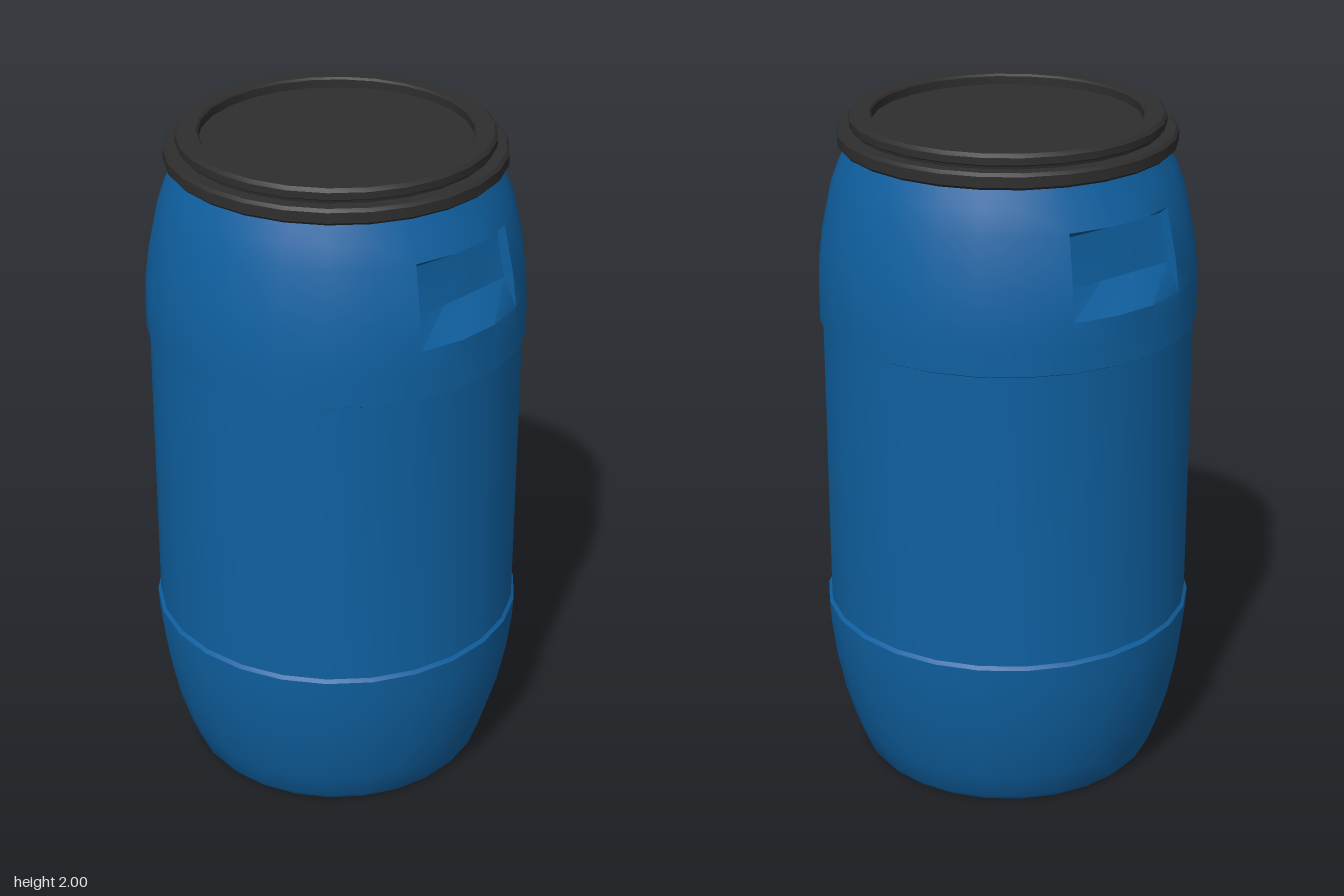
import * as THREE from 'three';
import { toCreasedNormals } from 'three/addons/utils/BufferGeometryUtils.js';

const SIDES = 26;
const STEP = (Math.PI * 2) / SIDES;
const CREASE = 0.5;

const blue = new THREE.MeshStandardMaterial({ color: 0x0f60a0 });
blue.name = 'blue plastic';
const black = new THREE.MeshStandardMaterial({ color: 0x2e2e2e });
black.name = 'black plastic';

// Turned shape from [radius, y] pairs, with a flat facet facing front and back
function turned(profile) {
  const points = profile.map(([r, y]) => new THREE.Vector2(r, y));
  const geo = new THREE.LatheGeometry(points, SIDES, STEP / 2).toNonIndexed();
  geo.deleteAttribute('uv');
  return geo;
}

// Rows of the handle opening: outer radius, height, then floor height and depth
const opening = [
  { r: 0.548, y: 1.55 },
  { r: 0.535, y: 1.65, floorY: 1.63, floorZ: 0.472 },
  { r: 0.505, y: 1.79, floorY: 1.77, floorZ: 0.45 },
];

// Recessed hand grip, three facets wide, returned as triangle corners
function gripTriangles(turn) {
  const columns = [-1.5, -0.5, 0.5, 1.5];
  const outer = opening.map(({ r, y }) => columns.map((c) =>
    new THREE.Vector3(r * Math.sin(c * STEP), y, r * Math.cos(c * STEP))));
  const inner = opening.map(({ floorY, floorZ }, i) => outer[i].map((p) =>
    floorY ? new THREE.Vector3(p.x * 0.97, floorY, floorZ) : p.clone()));
  const out = [];
  const axis = new THREE.Vector3(0, 1, 0);
  const quad = (a, b, c, d) => {
    for (const p of [a, b, c, a, c, d]) out.push(...p.clone().applyAxisAngle(axis, turn).toArray());
  };
  // Floor, then the overhang under the upper lip
  const rows = [...inner, outer[2]];
  for (let i = 0; i < 3; i++) {
    for (let c = 0; c < 3; c++) quad(rows[i][c], rows[i][c + 1], rows[i + 1][c + 1], rows[i + 1][c]);
  }
  // Side walls
  for (let i = 0; i < 2; i++) {
    quad(outer[i][0], inner[i][0], inner[i + 1][0], outer[i + 1][0]);
    quad(inner[i][3], outer[i][3], outer[i + 1][3], inner[i + 1][3]);
  }
  return out;
}

function barrelGeometry() {
  const shell = turned([
    [0, 0.05], [0.31, 0.05], [0.35, 0.035], [0.4, 0.004], [0.415, 0], [0.435, 0.002], [0.449, 0.02],
    [0.478, 0.1], [0.508, 0.2], [0.532, 0.32], [0.546, 0.43], [0.55, 0.5],
    [0.541, 0.51], [0.541, 1.4], [0.55, 1.405], [0.55, 1.48],
    ...opening.map(({ r, y }) => [r, y]),
    [0.482, 1.85], [0.452, 1.915], [0, 1.915],
  ]).attributes.position;

  // Drop the shell faces where the grips are cut in
  const kept = [];
  const tri = [new THREE.Vector3(), new THREE.Vector3(), new THREE.Vector3()];
  for (let i = 0; i < shell.count; i += 3) {
    tri.forEach((p, k) => p.fromBufferAttribute(shell, i + k));
    const mid = tri[0].clone().add(tri[1]).add(tri[2]).divideScalar(3);
    const inGrip = mid.y > 1.55 && mid.y < 1.79 && Math.atan2(Math.abs(mid.x), Math.abs(mid.z)) < 1.5 * STEP;
    if (!inGrip) tri.forEach((p) => kept.push(p.x, p.y, p.z));
  }
  kept.push(...gripTriangles(0), ...gripTriangles(Math.PI));

  const geo = new THREE.BufferGeometry();
  geo.setAttribute('position', new THREE.Float32BufferAttribute(kept, 3));
  return toCreasedNormals(geo, CREASE);
}

export function createModel() {
  const model = new THREE.Group();
  model.name = 'barrel';

  const body = new THREE.Mesh(barrelGeometry(), blue);
  body.name = 'barrelBody';

  // Clamping ring around the mouth
  const ring = new THREE.Mesh(toCreasedNormals(turned([
    [0.44, 1.91], [0.477, 1.91], [0.485, 1.918], [0.485, 1.948], [0.477, 1.957], [0.44, 1.957],
  ]), CREASE), black);
  ring.name = 'clampRing';

  // Lid with a raised rim and a sunken centre
  const lid = new THREE.Mesh(toCreasedNormals(turned([
    [0.44, 1.95], [0.443, 1.965], [0.451, 1.97], [0.451, 1.99], [0.442, 2],
    [0.392, 2], [0.386, 1.994], [0.386, 1.97], [0, 1.97],
  ]), CREASE), black);
  lid.name = 'lid';

  model.add(body, ring, lid);
  return model;
}
